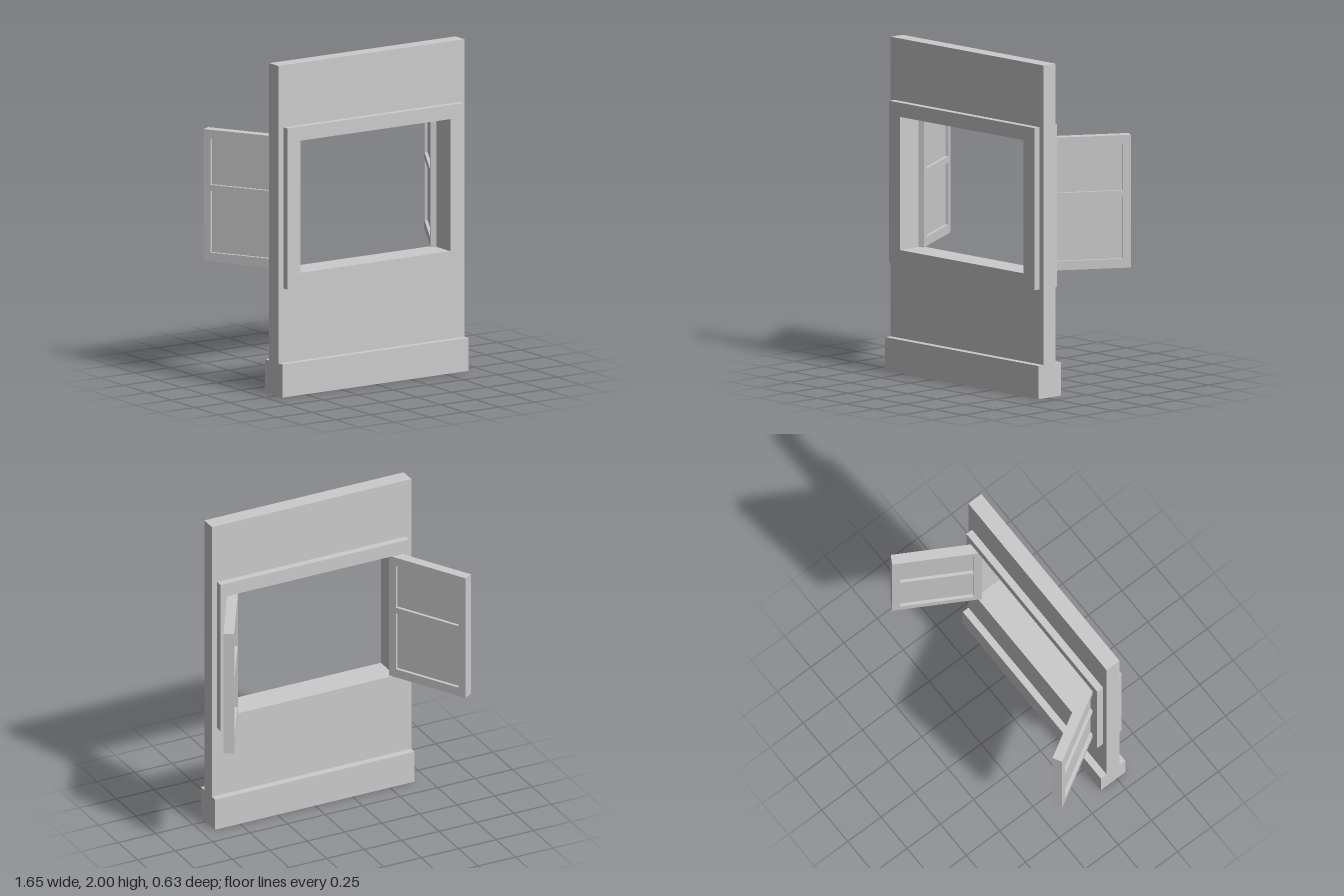
import * as THREE from 'three';

const material = new THREE.MeshStandardMaterial({ color: 0xcccccc, flatShading: true });

function rectPath(path, x0, y0, x1, y1) {
  path.moveTo(x0, y0);
  path.lineTo(x1, y0);
  path.lineTo(x1, y1);
  path.lineTo(x0, y1);
  path.closePath();
  return path;
}

// Rectangular slab [x0, y0, x1, y1] with rectangular holes, from z0 to z1
function slab(name, outer, holes, z0, z1) {
  const shape = rectPath(new THREE.Shape(), ...outer);
  holes.forEach((h) => shape.holes.push(rectPath(new THREE.Path(), ...h)));
  const geometry = new THREE.ExtrudeGeometry(shape, { depth: z1 - z0, bevelEnabled: false });
  geometry.translate(0, 0, z0);
  const mesh = new THREE.Mesh(geometry, material);
  mesh.name = name;
  return mesh;
}

// Shutter leaf: hinge edge at local x = 0, recessed panels on both faces
function createShutter(name) {
  const length = 0.535, margin = 0.047, half = 0.031;
  const x0 = margin, x1 = length - margin;
  const panels = [[x0, 0.795, x1, 1.167], [x0, 1.205, x1, 1.483]];
  const shutter = new THREE.Group();
  shutter.name = name;
  shutter.add(slab('shutterFrame', [0, 0.74, length, 1.538], panels, -half, half));
  panels.forEach((p) => shutter.add(slab('shutterPanel', p, [], -0.012, 0.012)));
  return shutter;
}

export function createModel() {
  const model = new THREE.Group();
  model.name = 'wallWithWindow';
  const opening = [-0.535, 0.74, 0.535, 1.54];

  model.add(slab('wall', [-0.665, 0, 0.665, 2], [opening], 0.173, 0.27));
  model.add(slab('baseboard', [-0.665, 0, 0.665, 0.2], [], 0.13, 0.313));
  model.add(slab('windowFrame', [-0.63, 0.65, 0.63, 1.625], [opening], 0.13, 0.313));

  // Shutters swung open to the back
  for (const side of [-1, 1]) {
    const shutter = createShutter(side > 0 ? 'leftShutter' : 'rightShutter');
    shutter.position.set(side * 0.531, 0, 0.163);
    shutter.rotation.y = side > 0 ? Math.PI / 3 : (2 * Math.PI) / 3;
    model.add(shutter);
  }
  return model;
}
